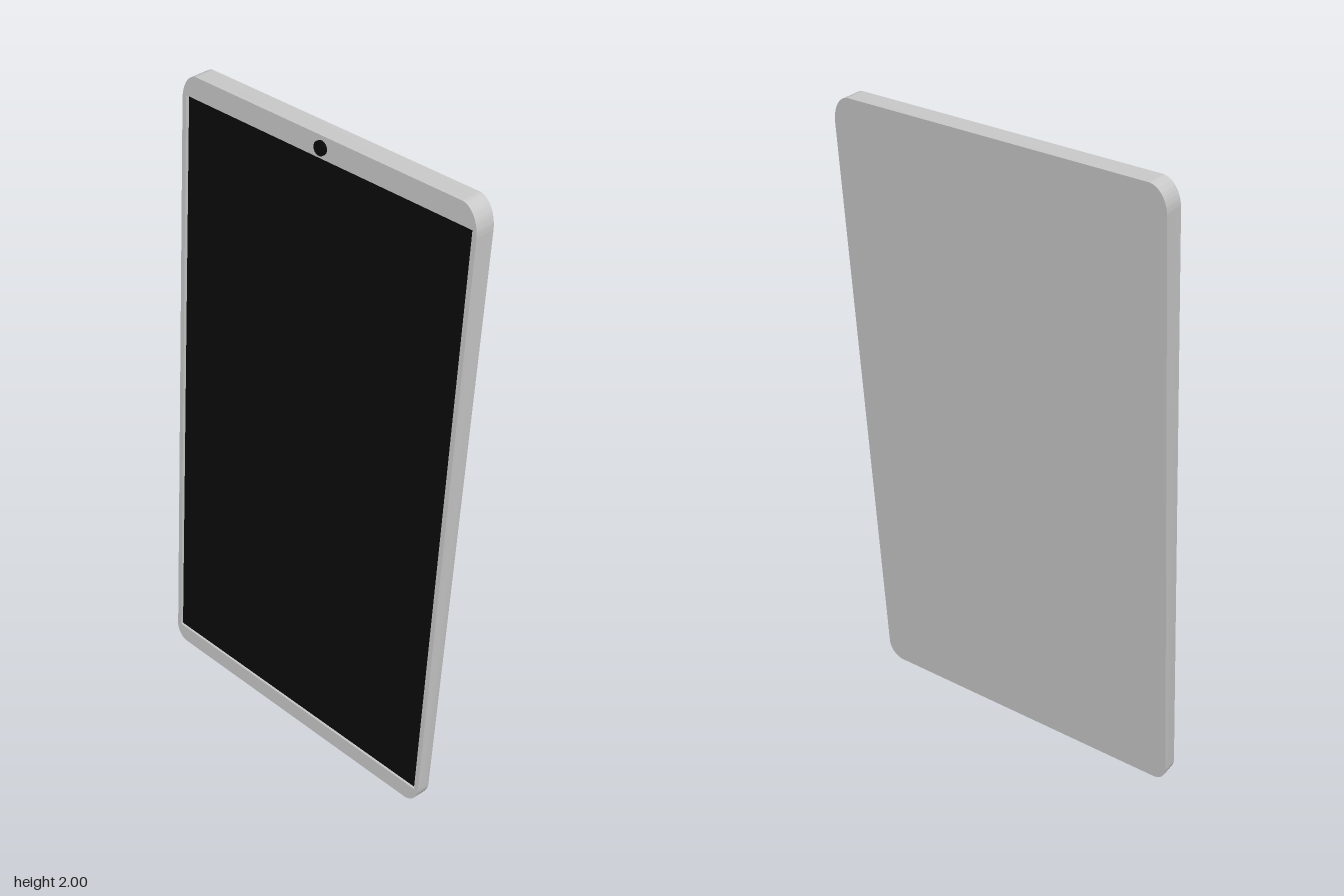
import * as THREE from 'three';
import { toCreasedNormals } from 'three/addons/utils/BufferGeometryUtils.js';

const grey = new THREE.MeshStandardMaterial({ color: 0xcccccc });
const black = new THREE.MeshStandardMaterial({ color: 0x0a0a0a });

const W = 0.538, H = 2;
const SX = 0.523, SY0 = 0.055, SY1 = 1.935; // screen opening
const LEDGE = 0.8; // depth fraction where the screen sits

const backZ = (y) => 0.05 - 0.074 * y;
const frontZ = (y) => 0.098 - 0.0655 * y;

// Lean the slab back and taper it: z runs 0 (back) to 1 (front) beforehand
function lean(geometry) {
  const p = geometry.attributes.position;
  for (let i = 0; i < p.count; i++) {
    const y = p.getY(i), t = p.getZ(i);
    p.setY(i, y + 0.006 * t * (1 - y / H));
    p.setZ(i, THREE.MathUtils.lerp(backZ(y), frontZ(y), t));
  }
  return toCreasedNormals(geometry, 0.5);
}

// Rectangle with elliptical corners, tall at the top and tighter at the bottom
function outline() {
  const s = new THREE.Shape();
  const corners = [
    [1, 0, 0.05, 0.06, -Math.PI / 2],
    [1, H, 0.057, 0.085, 0],
    [-1, H, 0.055, 0.08, Math.PI / 2],
    [-1, 0, 0.045, 0.05, Math.PI],
  ];
  for (const [sx, y, rx, ry, a] of corners) {
    s.absellipse(sx * (W - rx), y === 0 ? ry : y - ry, rx, ry, a, a + Math.PI / 2, false, 0);
  }
  s.closePath();
  return s;
}

function slab(name, shape, t0, t1) {
  const g = new THREE.ExtrudeGeometry(shape, { depth: t1 - t0, bevelEnabled: false, curveSegments: 10 });
  g.translate(0, 0, t0);
  const mesh = new THREE.Mesh(lean(g), grey);
  mesh.name = name;
  return mesh;
}

export function createModel() {
  const group = new THREE.Group();
  group.name = 'tablet';

  // Solid back and the raised bezel around the screen
  group.add(slab('backShell', outline(), 0, LEDGE));
  const rim = outline();
  rim.holes.push(new THREE.Path([
    new THREE.Vector2(-SX, SY0), new THREE.Vector2(-SX, SY1),
    new THREE.Vector2(SX, SY1), new THREE.Vector2(SX, SY0),
  ]));
  group.add(slab('bezel', rim, LEDGE, 1));

  // Recessed screen
  const plane = new THREE.PlaneGeometry(SX * 2, SY1 - SY0);
  plane.translate(0, (SY0 + SY1) / 2, LEDGE + 0.03);
  const screen = new THREE.Mesh(lean(plane), black);
  screen.name = 'screen';
  group.add(screen);

  // Camera button in the top bezel
  const camera = new THREE.Mesh(new THREE.CylinderGeometry(0.021, 0.021, 0.016, 24), black);
  camera.name = 'cameraLens';
  camera.position.set(0, 1.966, frontZ(1.966));
  camera.rotation.x = Math.PI / 2 - Math.atan(0.0655);
  group.add(camera);

  return group;
}
